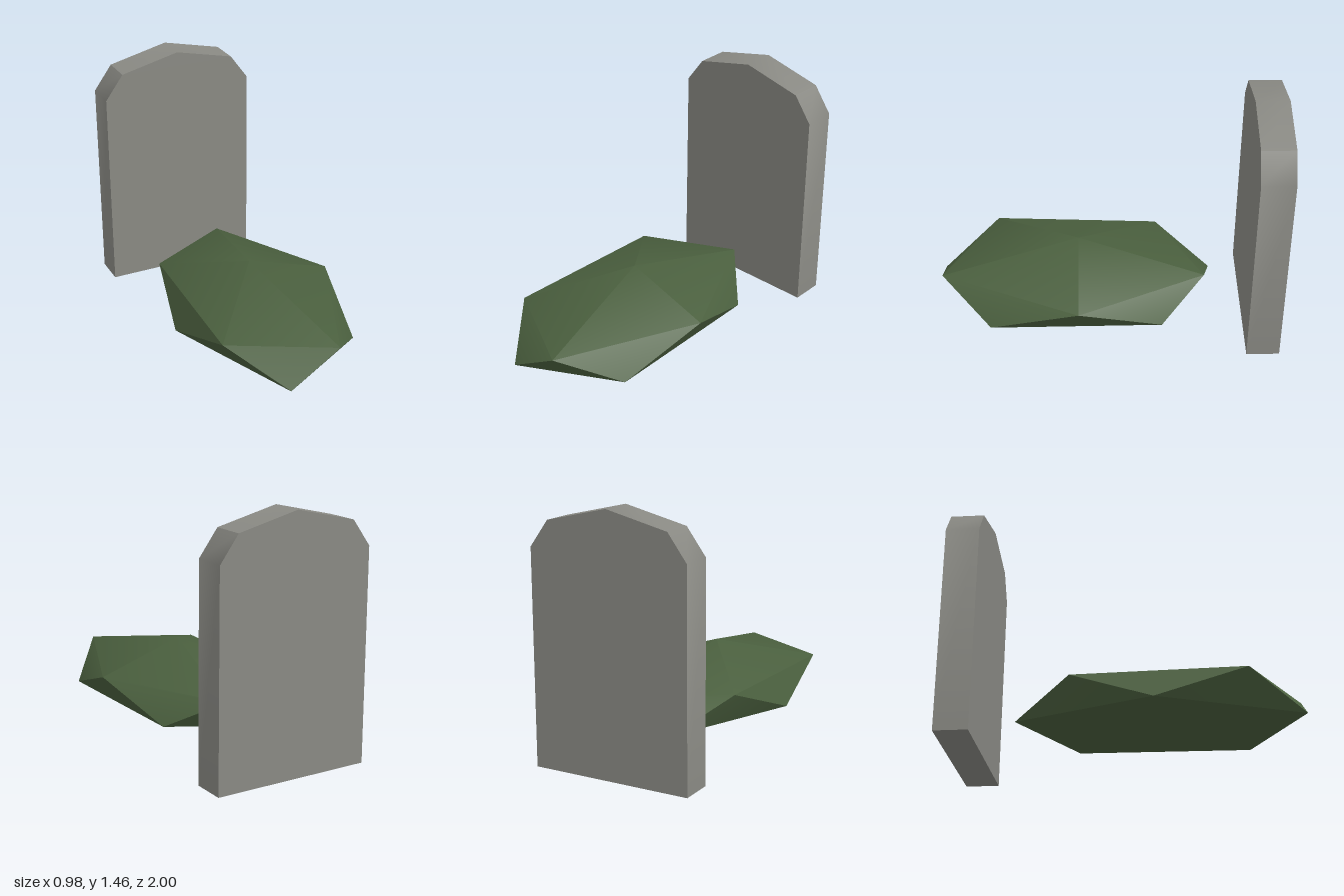
import * as THREE from 'three';
import { toCreasedNormals } from 'three/addons/utils/BufferGeometryUtils.js';

const CREASE = THREE.MathUtils.degToRad(40.1);

// Low mound: an apex, five shoulder points and five base points, zigzagging round the rim
function moundGeometry() {
  const apex = [-0.02, 0.505, 0.18];
  const rim = [
    [-0.17, -0.615], [0.12, -0.565], [0.37, -0.31], [0.49, 0.175], [0.39, 0.69],
    [0.13, 0.985], [-0.175, 1], [-0.43, 0.685], [-0.49, 0.175], [-0.39, -0.29],
  ].map(([x, z], i) => [x, i % 2 ? 0.34 : 0.16, z]); // even = base, odd = shoulder
  rim[1][1] = 0.33;
  const at = (i) => rim[i % 10];
  const tris = [];
  for (let i = 0; i < 10; i += 2) {
    tris.push(apex, at(i + 3), at(i + 1)); // crown
    tris.push(at(i + 1), at(i + 3), at(i + 2)); // slope
    tris.push(at(i), at(i + 1), at(i + 2)); // undercut
  }
  for (let i = 2; i < 8; i += 2) tris.push(rim[0], at(i), at(i + 2)); // underside
  const geometry = new THREE.BufferGeometry();
  geometry.setAttribute('position', new THREE.Float32BufferAttribute(tris.flat(), 3));
  return toCreasedNormals(geometry, CREASE);
}

// Upright slab with a faceted arched top
function slabGeometry() {
  const cx = -0.02;
  const half = [[0.47, 0], [0.47, 1.22], [0.36, 1.37]];
  const outline = [
    ...half.map(([x, y]) => new THREE.Vector2(cx + x, y)),
    new THREE.Vector2(cx, 1.455),
    ...half.map(([x, y]) => new THREE.Vector2(cx - x, y)).reverse(),
  ];
  const geometry = new THREE.ExtrudeGeometry(new THREE.Shape(outline), { depth: 0.193, bevelEnabled: false });
  geometry.translate(0, 0, -1);
  return toCreasedNormals(geometry, CREASE);
}

export function createModel() {
  const stone = new THREE.MeshStandardMaterial({ color: 0x8a8a84 });
  stone.name = 'stone grey';
  const grass = new THREE.MeshStandardMaterial({ color: 0x4a5f3e });
  grass.name = 'grass green';

  const group = new THREE.Group();
  group.name = 'grave';
  const add = (name, geometry, material) => {
    const mesh = new THREE.Mesh(geometry, material);
    mesh.name = name;
    group.add(mesh);
  };
  add('headstone', slabGeometry(), stone);
  add('mound', moundGeometry(), grass);
  return group;
}
